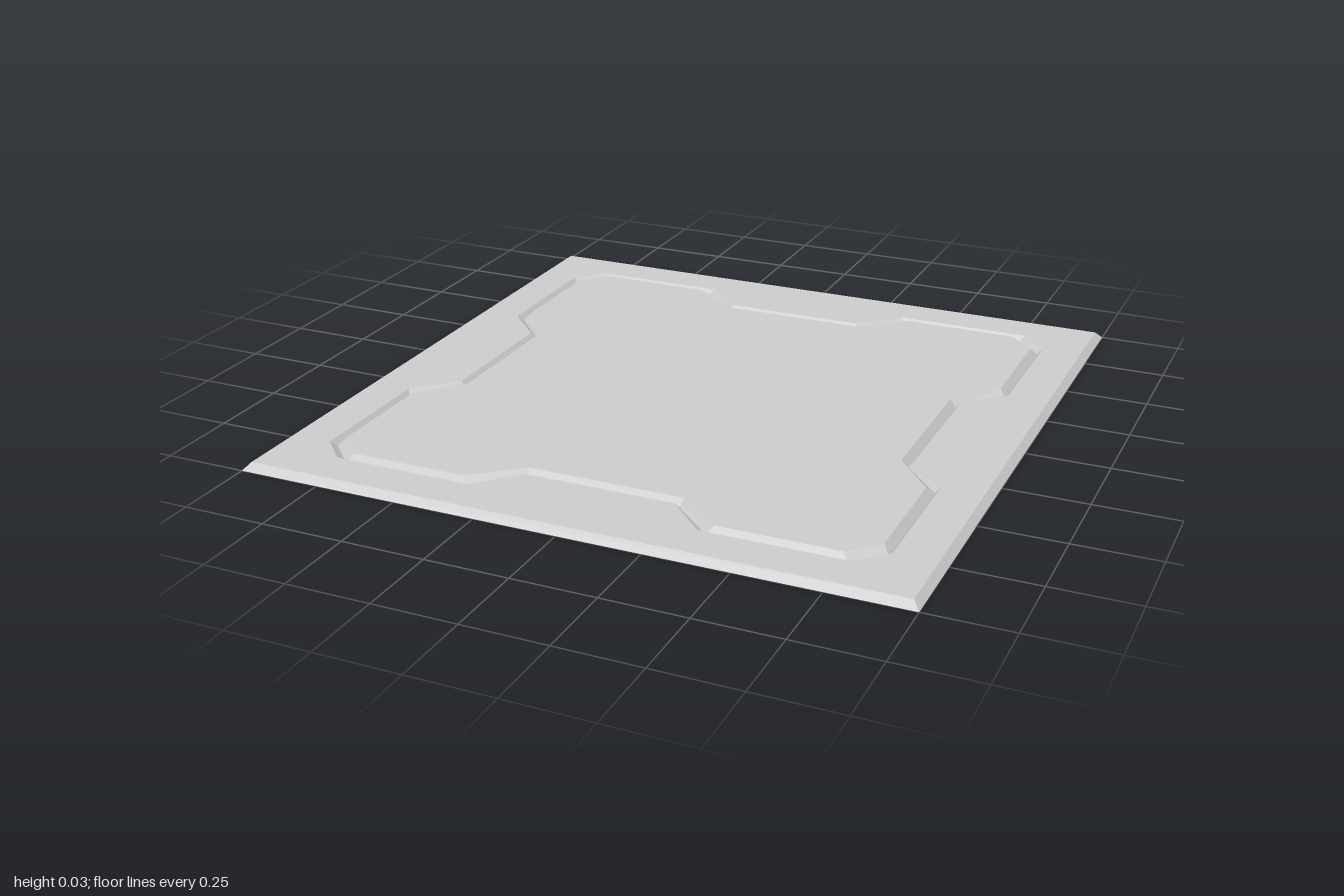
import * as THREE from 'three';

const material = new THREE.MeshStandardMaterial({
  color: 0xcccccc, flatShading: true, side: THREE.DoubleSide,
});

// Repeat one corner's [x, z] points around the four corners
function fourfold(corner) {
  const loop = [];
  for (let k = 0; k < 4; k++) {
    for (const [x, z] of corner) {
      loop.push([[x, z], [-z, x], [-x, -z], [z, -x]][k]);
    }
  }
  return loop;
}

// Notched outline: reach of the lobes, notch depth and corner positions
function outline(out, notch, notchEnd, lobeStart, chamfer) {
  return fourfold([
    [notch, notchEnd], [out, lobeStart], [out, chamfer],
    [chamfer, out], [lobeStart, out], [notchEnd, notch],
  ]);
}

// Sloping strip between an outer and an inner loop
function band(name, outer, yOuter, inner, yInner) {
  const pos = [];
  outer.forEach((p, i) => {
    const j = (i + 1) % outer.length;
    const a = [p[0], yOuter, p[1]];
    const b = [outer[j][0], yOuter, outer[j][1]];
    const c = [inner[i][0], yInner, inner[i][1]];
    const d = [inner[j][0], yInner, inner[j][1]];
    pos.push(...a, ...c, ...b, ...b, ...c, ...d);
  });
  const geo = new THREE.BufferGeometry();
  geo.setAttribute('position', new THREE.Float32BufferAttribute(pos, 3));
  geo.computeVertexNormals();
  return named(name, geo);
}

// Flat face, optionally with an opening
function flat(name, loop, y, hole) {
  const points = (l) => l.map(([x, z]) => new THREE.Vector2(x, -z));
  const shape = new THREE.Shape(points(loop));
  if (hole) shape.holes.push(new THREE.Path(points(hole)));
  const geo = new THREE.ShapeGeometry(shape).rotateX(-Math.PI / 2).translate(0, y, 0);
  return named(name, geo);
}

function named(name, geo) {
  const mesh = new THREE.Mesh(geo, material);
  mesh.name = name;
  return mesh;
}

export function createModel() {
  const group = new THREE.Group();
  group.name = 'floorTile';

  const borderY = 0.022, plateY = 0.026, grooveY = 0.004;
  const base = fourfold([[1, 1]]);
  const rim = fourfold([[0.98, 0.98]]);
  const grooveOuter = outline(0.857, 0.738, 0.226, 0.346, 0.773);
  const grooveFloor = outline(0.841, 0.722, 0.232, 0.363, 0.757);
  const grooveInner = outline(0.822, 0.704, 0.24, 0.38, 0.74);

  group.add(
    // Open-bottomed shell with a bevelled edge
    band('edgeBevel', base, 0, rim, borderY),
    flat('border', rim, borderY, grooveOuter),
    // V-shaped groove around the plate
    band('grooveOuterWall', grooveOuter, borderY, grooveFloor, grooveY),
    band('grooveInnerWall', grooveFloor, grooveY, grooveInner, plateY),
    flat('centrePlate', grooveInner, plateY),
  );
  return group;
}
